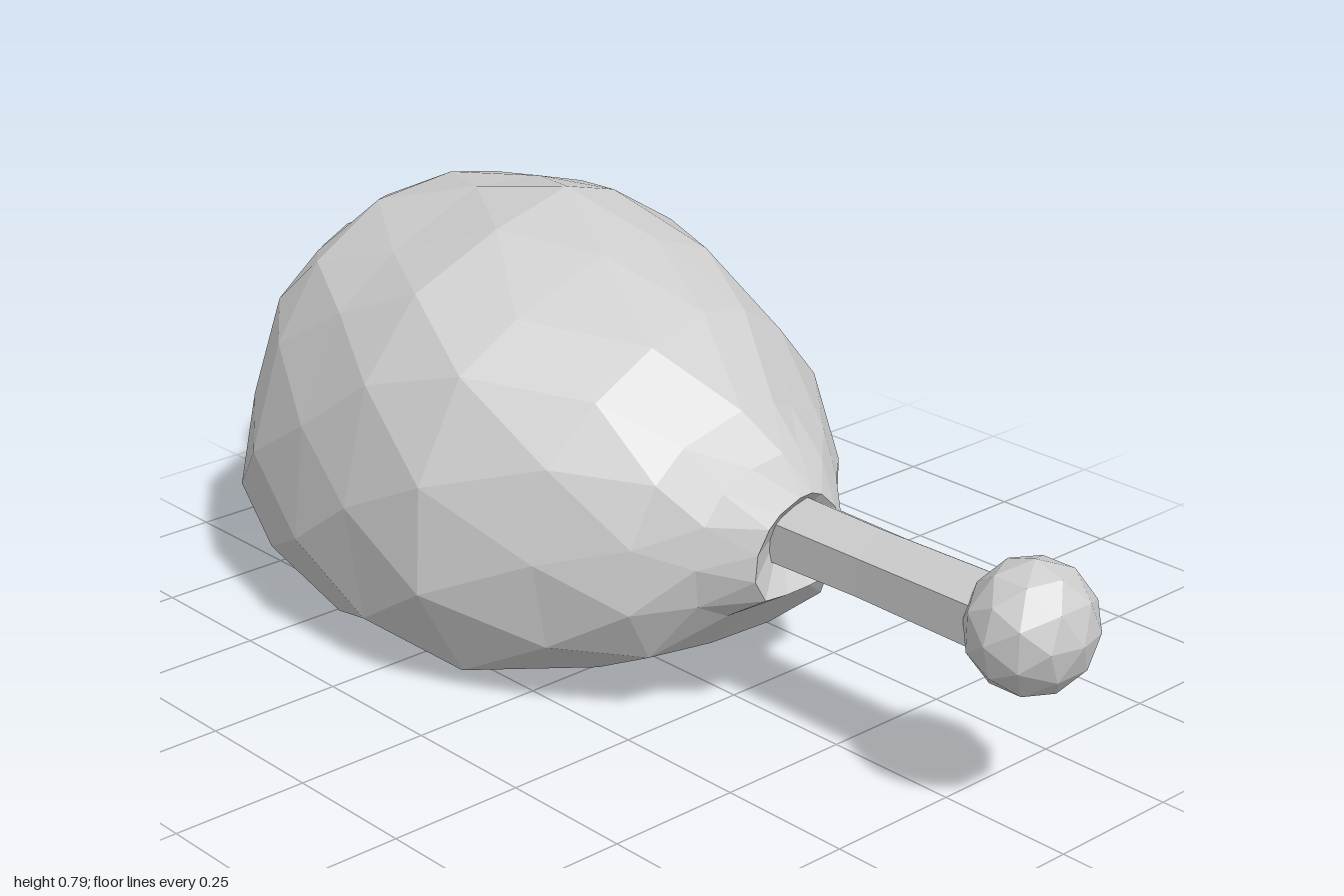
import * as THREE from 'three';

// Small seeded generator for the uneven surface
function makeRandom(seed) {
  return () => {
    seed = (seed * 16807) % 2147483647;
    return seed / 2147483647 - 0.5;
  };
}

// Unit cross-section (z, y): broad flat base, sloping front shoulder, upright back
const outline = new THREE.CatmullRomCurve3([
  [0.95, 0.08], [0.74, 0.58], [0.45, 0.79], [0, 1], [-0.31, 0.98], [-0.55, 0.89],
  [-0.82, 0.56], [-0.98, 0.25], [-1, -0.1], [-0.97, -0.48], [-0.82, -0.93],
  [-0.3, -1], [0.25, -1], [0.79, -0.95], [1, -0.46],
].map(([z, y]) => new THREE.Vector3(0, y, z)), true);

// Faceted loft along x; each section is [x, bottom, top, back, front]
function loft(sections, sides, jitter, startTip, endTip, seed) {
  const random = makeRandom(seed);
  const rings = sections.map(([x, bottom, top, back, front], i) => {
    const ring = [];
    const size = Math.min(1, (top - bottom) / 0.5);
    for (let j = 0; j < sides; j++) {
      const p = outline.getPoint((j + (i % 2) * 0.5) / sides);
      const k = 1 + random() * jitter;
      ring.push([
        x + random() * jitter * size,
        Math.max(0, (top + bottom) / 2 + p.y * k * (top - bottom) / 2),
        (front + back) / 2 + p.z * k * (front - back) / 2,
      ]);
    }
    return ring;
  });

  const points = [];
  const face = (...corners) => corners.forEach((p) => points.push(...p));
  const last = rings.length - 1;
  for (let j = 0; j < sides; j++) {
    const n = (j + 1) % sides;
    face(startTip, rings[0][j], rings[0][n]);
    face(endTip, rings[last][n], rings[last][j]);
    for (let i = 0; i < last; i++) {
      const p = rings[i], q = rings[i + 1];
      if (i % 2 === 0) {
        face(p[j], q[j], p[n]);
        face(q[j], q[n], p[n]);
      } else {
        face(p[j], q[j], q[n]);
        face(p[j], q[n], p[n]);
      }
    }
  }
  const geometry = new THREE.BufferGeometry();
  geometry.setAttribute('position', new THREE.Float32BufferAttribute(points, 3));
  geometry.computeVertexNormals();
  return geometry;
}

export function createModel() {
  const group = new THREE.Group();
  group.name = 'drumstick';
  const grey = new THREE.MeshStandardMaterial({ color: 0xcccccc, flatShading: true });
  grey.name = 'light grey';

  const add = (name, geometry) => {
    const mesh = new THREE.Mesh(geometry, grey);
    mesh.name = name;
    group.add(mesh);
    return mesh;
  };

  // Plump meat, flat underneath and narrowing to the bone
  add('meat', loft([
    [-0.89, 0.18, 0.42, -0.12, 0.14],
    [-0.82, 0.08, 0.57, -0.25, 0.20],
    [-0.73, 0.01, 0.68, -0.37, 0.33],
    [-0.62, 0.00, 0.745, -0.42, 0.38],
    [-0.44, 0.00, 0.765, -0.46, 0.43],
    [-0.27, 0.00, 0.785, -0.455, 0.44],
    [-0.09, 0.015, 0.73, -0.43, 0.43],
    [0.09, 0.055, 0.645, -0.37, 0.325],
    [0.24, 0.115, 0.53, -0.26, 0.24],
    [0.33, 0.21, 0.475, -0.17, 0.17],
    [0.41, 0.26, 0.43, -0.09, 0.11],
  ], 15, 0.03, [-0.91, 0.28, 0.06], [0.34, 0.35, -0.02], 71));

  // Pointed lobe at the fat end, merging into the back
  add('rearLobe', loft([
    [-0.92, 0.36, 0.57, -0.16, 0.04],
    [-0.82, 0.31, 0.63, -0.27, 0.09],
    [-0.68, 0.30, 0.68, -0.39, 0.10],
    [-0.48, 0.36, 0.60, -0.44, -0.10],
  ], 9, 0.03, [-1, 0.46, -0.03], [-0.3, 0.47, -0.35], 23));

  // Six-sided bone shaft, slightly waisted
  const shaft = new THREE.CylinderGeometry(0.072, 0.073, 0.54, 6, 2, false, Math.PI / 6);
  shaft.rotateZ(-Math.PI / 2);
  const pos = shaft.attributes.position;
  for (let i = 0; i < pos.count; i++) {
    if (Math.abs(pos.getX(i)) < 0.01) {
      pos.setY(i, pos.getY(i) * 0.94);
      pos.setZ(i, pos.getZ(i) * 0.94);
    }
  }
  add('boneShaft', shaft).position.set(0.57, 0.347, -0.02);

  // Rounded bone end
  const knob = add('boneKnob', new THREE.IcosahedronGeometry(1, 1));
  knob.scale.set(0.107, 0.115, 0.115);
  knob.position.set(0.893, 0.355, -0.022);

  return group;
}
